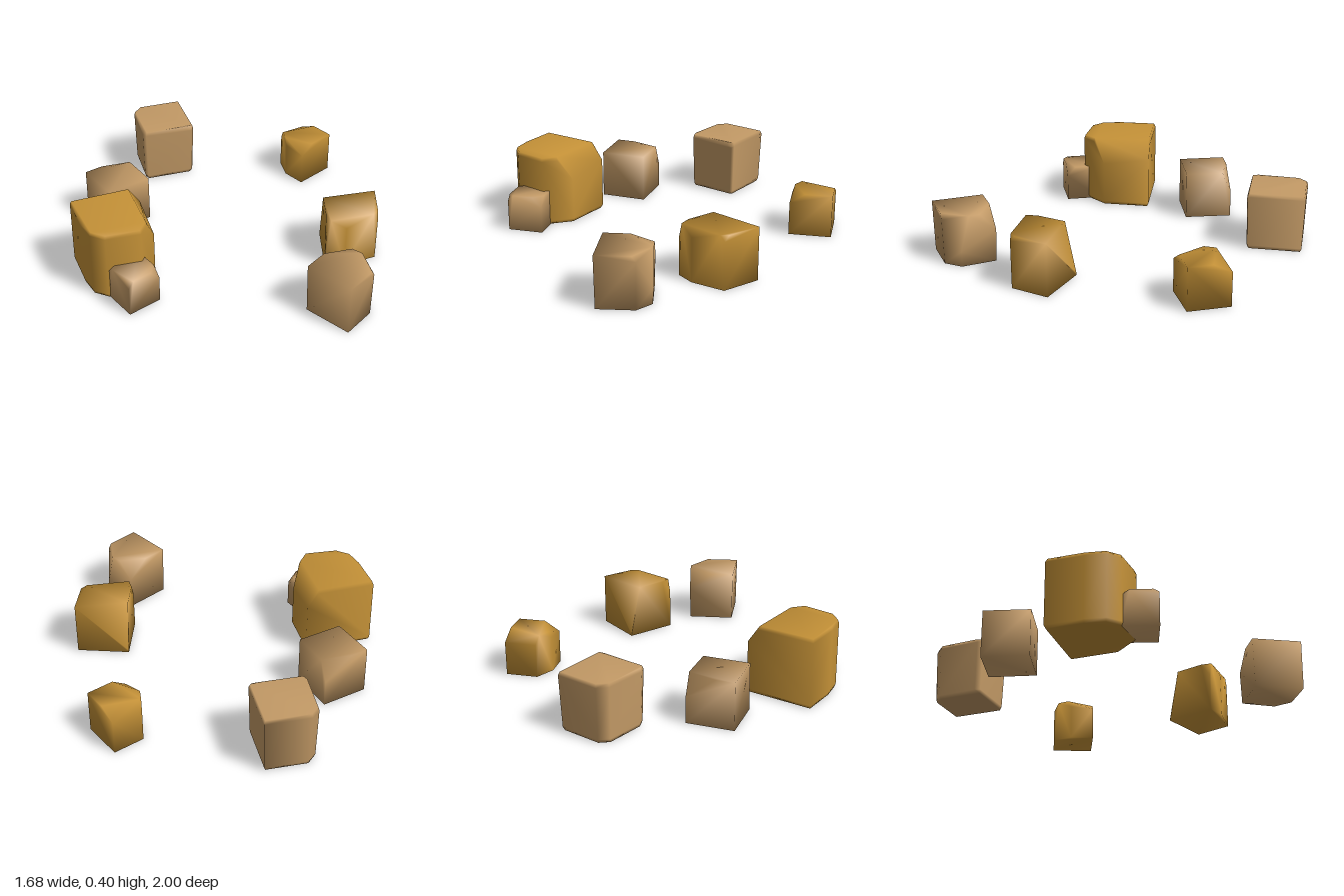
import * as THREE from 'three';
import { ConvexGeometry } from 'three/addons/geometries/ConvexGeometry.js';
import { mergeVertices } from 'three/addons/utils/BufferGeometryUtils.js';

// Each corner: [x, z, drop, towardPrevious, towardNext].
// A drop cuts the top of that corner; the last two place the cut along its edges (0 = none).
const ROCKS = [
  { name: 'backTanStone', color: 'tan', height: 0.33, bevel: 0.02, foot: 0.95, corners: [
    [-0.285, -0.94], [-0.24, -0.99], [0.01, -1.0], [0.025, -0.69], [0.01, -0.68, 0.03, 0.2, 0.1],
    [-0.27, -0.67], [-0.285, -0.7]] },
  { name: 'sideTanStone', color: 'tan', height: 0.27, bevel: 0, foot: 1, corners: [
    [-0.68, -0.44], [-0.43, -0.53, 0.12, 0.6, 0.2], [-0.345, -0.28], [-0.59, -0.195]] },
  { name: 'largeGoldStone', color: 'gold', height: 0.4, bevel: 0.02, foot: 1, corners: [
    [-0.84, 0.01], [-0.45, -0.03, 0.1, 0.15, 0], [-0.432, 0.24, 0.14, 0, 0.5],
    [-0.53, 0.385], [-0.72, 0.385], [-0.79, 0.33], [-0.82, 0.22]] },
  { name: 'smallTanStone', color: 'tan', height: 0.205, bevel: 0, foot: 1, corners: [
    [-0.715, 0.37, 0.04, 0.25, 0.3], [-0.535, 0.295], [-0.46, 0.475, 0.055, 0.25, 0.28],
    [-0.64, 0.555, 0.035, 0.15, 0.15]] },
  { name: 'frontTanStone', color: 'tan', height: 0.288, bevel: 0, foot: 0.97, corners: [
    [0.26, 0.76], [0.48, 0.61, 0.1, 0.47, 0.44], [0.6, 0.77, 0.2, 0.25, 0],
    [0.58, 0.88, 0.03, 0, 0.1], [0.41, 1.0]] },
  { name: 'frontGoldStone', color: 'gold', height: 0.298, bevel: 0, foot: 1, corners: [
    [0.555, 0.145, 0.285, 0.22, 0], [0.84, 0.22], [0.78, 0.43, 0.03, 0.12, 0.15],
    [0.59, 0.455, 0.05, 0, 0], [0.485, 0.425, 0.08, 0.2, 0.2]] },
  { name: 'backGoldStone', color: 'gold', height: 0.243, bevel: 0, foot: 1, corners: [
    [0.57, -0.63, 0.05, 0.25, 0], [0.73, -0.71, 0.05, 0, 0.43], [0.835, -0.5],
    [0.625, -0.39, 0.055, 0.35, 0], [0.565, -0.51, 0.04, 0, 0.2]] },
];

// Hull of a corner outline, with trimmed corners, bevelled rims and smooth normals
function rockGeometry({ height, bevel, foot, corners }) {
  const n = corners.length;
  const cx = corners.reduce((s, c) => s + c[0], 0) / n;
  const cz = corners.reduce((s, c) => s + c[1], 0) / n;
  const points = [];
  const add = (x, z, y, scale) =>
    points.push(new THREE.Vector3(cx + (x - cx) * scale, y, cz + (z - cz) * scale));
  const addTop = (x, z) => {
    add(x, z, height, 1 - bevel * 2);
    if (bevel) add(x, z, height - bevel, 1);
  };

  corners.forEach(([x, z, drop = 0, toPrev = 0, toNext = 0], i) => {
    add(x, z, 0, foot - bevel * 2);
    if (bevel) add(x, z, bevel, foot);
    if (!drop) {
      addTop(x, z);
      return;
    }
    add(x, z, height - drop, 1);
    const sides = [[corners[(i + n - 1) % n], toPrev], [corners[(i + 1) % n], toNext]];
    for (const [[px, pz], t] of sides) {
      if (t) addTop(x + (px - x) * t, z + (pz - z) * t);
    }
  });

  const hull = new ConvexGeometry(points);
  hull.deleteAttribute('normal');
  const smooth = mergeVertices(hull, 1e-4);
  smooth.computeVertexNormals();
  return smooth;
}

export function createModel() {
  const materials = {
    tan: new THREE.MeshStandardMaterial({ name: 'tan stone', color: 0xc39a66 }),
    gold: new THREE.MeshStandardMaterial({ name: 'gold stone', color: 0xc49137 }),
  };
  const group = new THREE.Group();
  group.name = 'stoneRing';
  for (const rock of ROCKS) {
    const mesh = new THREE.Mesh(rockGeometry(rock), materials[rock.color]);
    mesh.name = rock.name;
    group.add(mesh);
  }
  return group;
}
